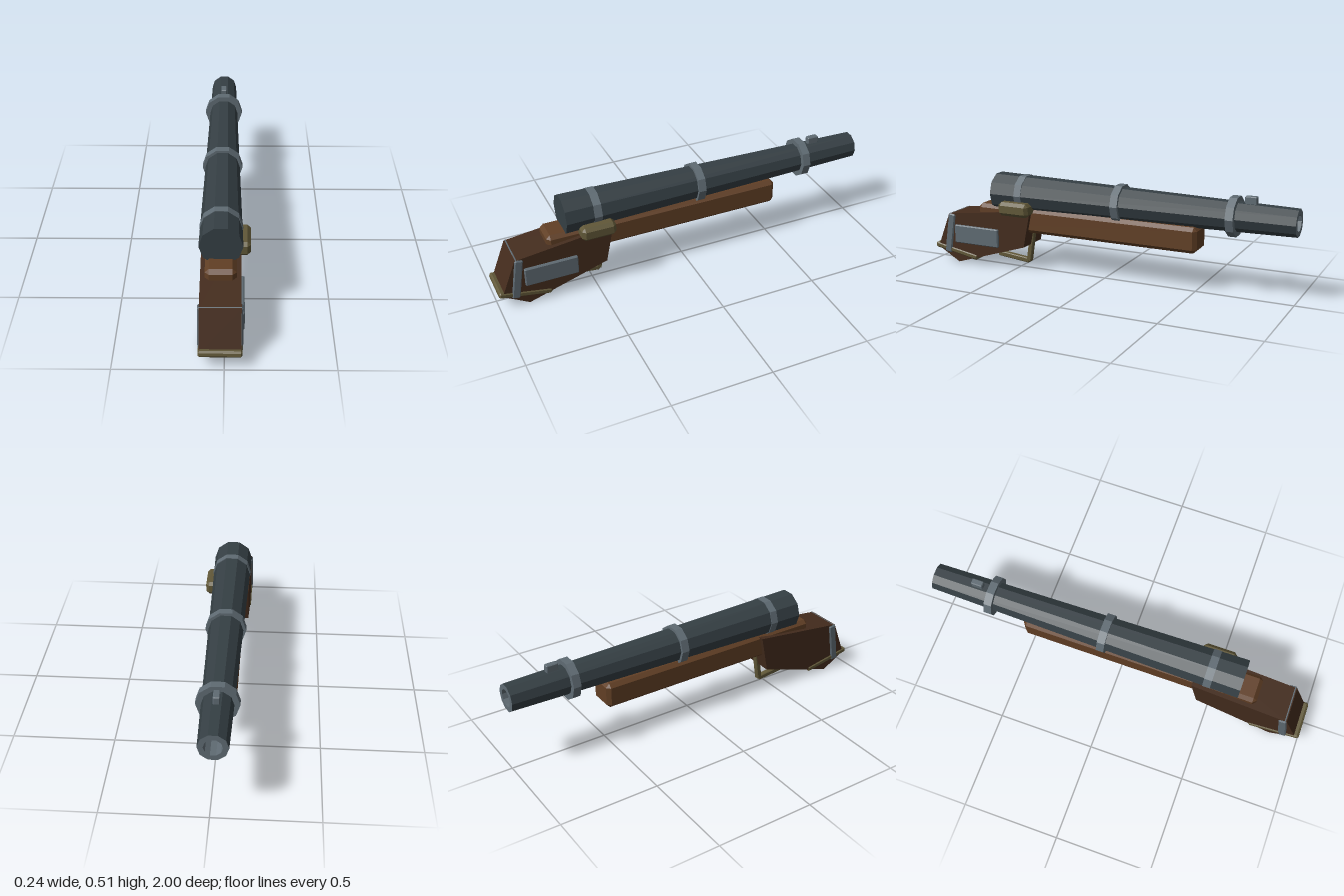
import * as THREE from 'three';
import { ConvexGeometry } from 'three/addons/geometries/ConvexGeometry.js';

const CX = -0.018; // centre line of the gun
const BORE_Y = 0.404; // height of the barrel axis

const mat = (color) => new THREE.MeshStandardMaterial({ color, flatShading: true });

export function createModel() {
  const gunMetal = mat(0x353f44);
  const steel = mat(0x5f6b73);
  const darkWood = mat(0x442c1d);
  const wood = mat(0x613f25);
  const brass = mat(0x615838);
  const model = new THREE.Group();

  function add(name, geometry, material, x = 0, y = 0, z = 0, tilt = 0) {
    const mesh = new THREE.Mesh(geometry, material);
    mesh.name = name;
    mesh.position.set(x, y, z);
    mesh.rotation.x = tilt;
    model.add(mesh);
    return mesh;
  }

  // Box whose edges and corners are all cut by c
  function chamferBox(w, h, d, c) {
    const points = [];
    for (const sx of [-1, 1]) for (const sy of [-1, 1]) for (const sz of [-1, 1]) {
      for (let axis = 0; axis < 3; axis++) {
        const cut = [c, c, c];
        cut[axis] = 0;
        points.push(new THREE.Vector3(
          sx * (w / 2 - cut[0]), sy * (h / 2 - cut[1]), sz * (d / 2 - cut[2])));
      }
    }
    return new ConvexGeometry(points);
  }

  // Ten-sided turned part along z, from [radius, z] pairs
  function turned(profile) {
    const points = profile.map(([r, z]) => new THREE.Vector2(r, z));
    return new THREE.LatheGeometry(points, 10, Math.PI / 2).rotateX(Math.PI / 2);
  }

  // Barrel with closed breech, muzzle face and bore
  add('barrel', turned([[0.069, -1], [0.1017, 0.635], [0, 0.635]]), gunMetal, CX, BORE_Y);
  add('muzzle', turned([[0, -0.85], [0.043, -0.85], [0.043, -1], [0.069, -1]]), steel, CX, BORE_Y);

  // Barrel bands
  for (const z of [0.472, -0.083, -0.685]) {
    add('barrelBand', turned([[0, -0.02], [0.1015, -0.02], [0.1015, 0.02], [0, 0.02]]),
      steel, CX, BORE_Y, z);
  }

  add('frontSight', chamferBox(0.031, 0.05, 0.06, 0.004), steel, CX, 0.485, -0.765);
  add('forearm', chamferBox(0.145, 0.132, 1.245, 0.019), wood, CX, 0.271, 0.108);

  // Stock: side profile as (z, y), extruded across the width
  const profile = [[0.4, 0.327], [0.44, 0.13], [0.85, 0], [0.98, 0.075], [0.905, 0.267]];
  const shape = new THREE.Shape(profile.map(([z, y]) => new THREE.Vector2(-z, y)));
  const stock = new THREE.ExtrudeGeometry(shape, { depth: 0.187, bevelEnabled: false });
  stock.translate(0, 0, -0.0935).rotateY(Math.PI / 2);
  add('stock', stock, darkWood, CX);

  // Fittings on the stock
  add('buttStrap', chamferBox(0.203, 0.22, 0.042, 0.006), steel, CX, 0.158, 0.9, -0.15);
  add('buttPlate', chamferBox(0.197, 0.031, 0.27, 0.008), brass, CX, 0.06, 0.865, -0.18);
  add('sidePlate', chamferBox(0.03, 0.1, 0.272, 0.005), steel, 0.075, 0.161, 0.728);
  add('lock', chamferBox(0.1, 0.073, 0.176, 0.017), brass, 0.07, 0.337, 0.482);

  // Trigger guard: bars between two (z, y) points
  function guardBar(name, [z1, y1], [z2, y2]) {
    const length = Math.hypot(z2 - z1, y2 - y1);
    add(name, chamferBox(0.03, 0.026, length, 0.004), brass, CX, (y1 + y2) / 2, (z1 + z2) / 2,
      -Math.atan2(y2 - y1, z2 - z1));
  }
  guardBar('guardFront', [0.43, 0.215], [0.458, 0.03]);
  guardBar('guardBottom', [0.455, 0.034], [0.645, 0.054]);

  return model;
}
